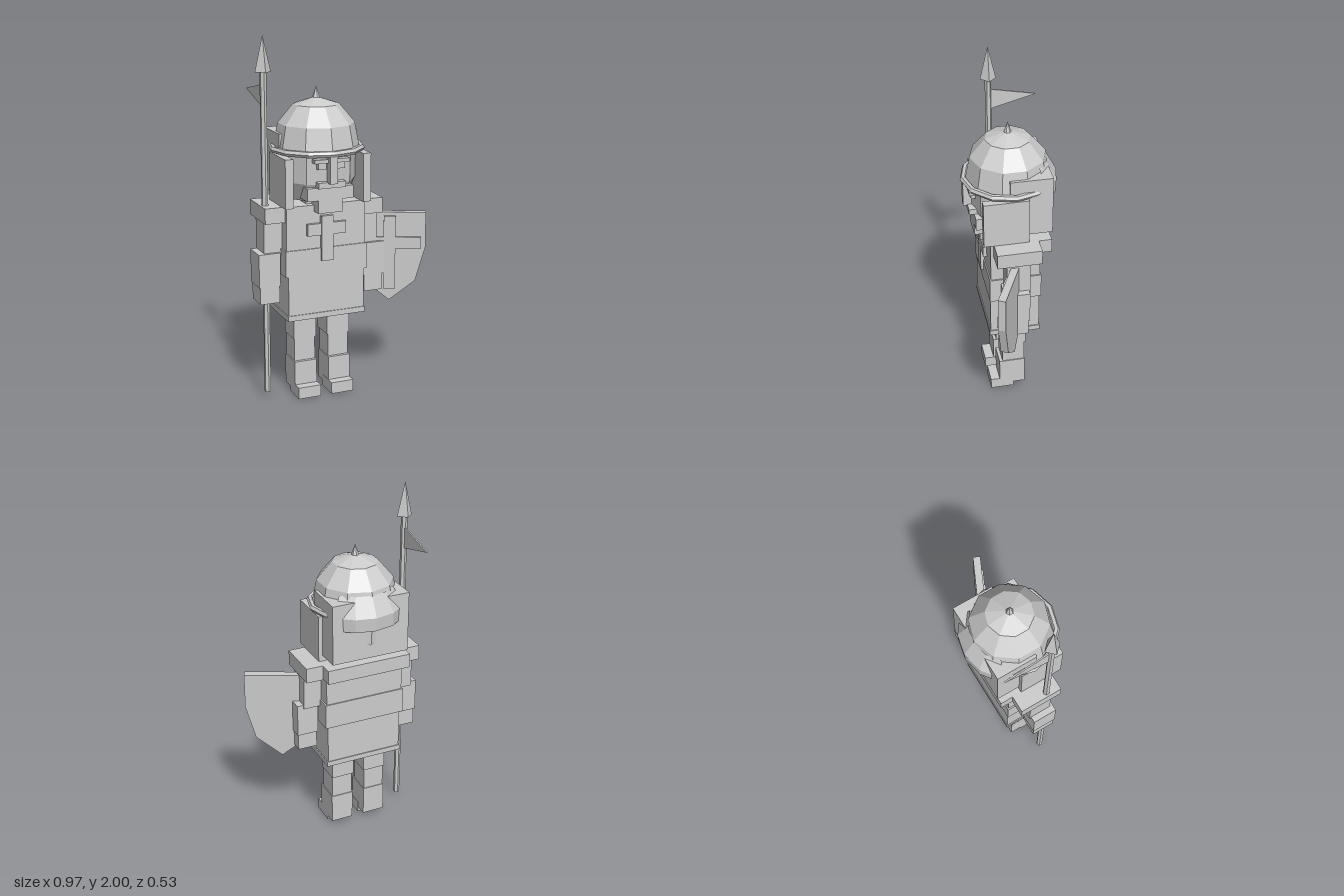
import * as THREE from 'three';

const CX = -0.12; // body centre line

export function createModel() {
  const model = new THREE.Group();
  model.name = 'spearman';
  const stone = new THREE.MeshStandardMaterial({ color: 0xcccccc });
  stone.name = 'pale grey';
  stone.flatShading = true;
  stone.side = THREE.DoubleSide;

  const add = (name, geometry, parent = model) => {
    const mesh = new THREE.Mesh(geometry, stone);
    mesh.name = name;
    parent.add(mesh);
    return mesh;
  };
  // Box given by its limits
  const box = (name, x0, x1, y0, y1, z0, z1, parent) => {
    const mesh = add(name, new THREE.BoxGeometry(x1 - x0, y1 - y0, z1 - z0), parent);
    mesh.position.set((x0 + x1) / 2, (y0 + y1) / 2, (z0 + z1) / 2);
    return mesh;
  };
  const lathe = (name, points, sides, start = 0, sweep = Math.PI * 2, parent) =>
    add(name, new THREE.LatheGeometry(points.map(p => new THREE.Vector2(...p)), sides, start, sweep), parent);

  const body = new THREE.Group();
  body.name = 'body';
  body.position.x = CX;
  model.add(body);

  // Torso and tunic
  box('chest', -0.228, 0.228, 0.86, 1.1, -0.135, 0.14, body);
  box('waist', -0.236, 0.236, 0.715, 0.86, -0.142, 0.147, body);
  box('skirt', -0.22, 0.22, 0.495, 0.715, -0.135, 0.143, body);
  box('hem', -0.226, 0.226, 0.465, 0.495, -0.14, 0.148, body);
  box('backYoke', -0.245, 0.245, 1.02, 1.1, -0.195, -0.1, body);
  box('chestCrossUpright', -0.035, 0.032, 0.79, 1.04, 0.13, 0.162, body);
  box('chestCrossBar', -0.113, 0.108, 0.935, 1.0, 0.13, 0.16, body);

  // Arms and legs, mirrored
  for (const s of [-1, 1]) {
    const side = s > 0 ? 'left' : 'right';
    const pair = (name, a, b, ...rest) =>
      box(side + name, Math.min(s * a, s * b), Math.max(s * a, s * b), ...rest, body);
    pair('ShoulderPad', 0.2, 0.34, 1.015, 1.1, -0.123, 0.123);
    pair('UpperArm', 0.22, 0.33, 0.82, 1.015, -0.06, 0.07);
    pair('Forearm', 0.245, 0.366, 0.655, 0.84, -0.052, 0.088);
    pair('Hand', 0.25, 0.36, 0.56, 0.655, -0.045, 0.085);
    pair('Thigh', 0.033, 0.165, 0.33, 0.5, -0.07, 0.07);
    pair('Knee', 0.04, 0.16, 0.2, 0.33, -0.063, 0.065);
    pair('Shin', 0.036, 0.165, 0.03, 0.2, -0.067, 0.083);
    pair('Shoe', 0.033, 0.163, 0, 0.065, 0, 0.135);
    // Hanging side flaps of the hood, and eyes
    pair('HoodFlap', 0.2, 0.245, 1.1, 1.365, -0.07, 0.178);
    pair('Eye', 0.03, 0.075, 1.305, 1.345, 0.19, 0.215);
    pair('Brow', 0.022, 0.1, 1.34, 1.36, 0.19, 0.228);
  }

  // Head
  lathe('head', [[0, 1.1], [0.165, 1.12], [0.21, 1.22], [0.215, 1.4]], 10, 0, Math.PI * 2, body);
  box('neck', -0.1, 0.1, 1.08, 1.2, -0.13, 0.1, body);
  box('hood', -0.223, 0.223, 1.135, 1.475, -0.203, 0.03, body);
  box('beard', -0.132, 0.132, 1.135, 1.205, 0.08, 0.2, body);
  box('beardTip', -0.07, 0.07, 1.065, 1.135, 0.1, 0.2, body);
  box('moustache', -0.077, 0.077, 1.205, 1.237, 0.17, 0.228, body);

  // Helmet
  const helmet = new THREE.Group();
  helmet.name = 'helmet';
  body.add(helmet);
  lathe('dome', [[0.235, 1.38], [0.208, 1.52], [0.125, 1.62], [0, 1.66]], 10, 0, Math.PI * 2, helmet);
  const rim = add('brim', new THREE.TorusGeometry(0.244, 0.018, 6, 12), helmet);
  rim.rotation.x = Math.PI / 2;
  rim.position.y = 1.388;
  const spike = add('helmetSpike', new THREE.ConeGeometry(0.027, 0.08, 6), helmet);
  spike.position.y = 1.675;
  box('noseGuard', -0.022, 0.022, 1.23, 1.395, 0.205, 0.25, helmet);
  lathe('neckGuard', [[0.2, 1.33], [0.265, 1.32], [0.268, 1.395], [0.21, 1.5]], 4,
    Math.PI - 0.85, 1.7, helmet);

  // Spear with pennant
  const spear = new THREE.Group();
  spear.name = 'spear';
  spear.position.set(-0.433, 0, 0.045);
  model.add(spear);
  add('spearShaft', new THREE.CylinderGeometry(0.018, 0.018, 1.78, 6), spear).position.y = 0.93;
  add('spearHead', new THREE.ConeGeometry(0.044, 0.19, 4), spear).position.y = 1.905;
  const flag = new THREE.Shape([[0, 1.745], [0, 1.625], [0.255, 1.692]].map(p => new THREE.Vector2(...p)));
  const pennant = add('pennant', new THREE.ExtrudeGeometry(flag, { depth: 0.008, bevelEnabled: false }), spear);
  pennant.rotation.y = Math.PI / 2;
  pennant.position.set(-0.004, 0, -0.01);

  // Shield, turned inward on the left arm
  const shield = new THREE.Group();
  shield.name = 'shield';
  shield.position.set(0.302, 0, 0.046);
  shield.rotation.y = -0.437;
  model.add(shield);
  const outline = new THREE.Shape([[-0.2, 1], [-0.2, 0.8], [-0.145, 0.605], [0, 0.49], [0.145, 0.605],
    [0.2, 0.8], [0.2, 1]].map(p => new THREE.Vector2(...p)));
  add('shieldBoard', new THREE.ExtrudeGeometry(outline, { depth: 0.042, bevelEnabled: false }), shield);
  box('shieldCrossUpright', -0.033, 0.033, 0.56, 0.98, 0.03, 0.055, shield);
  box('shieldCrossBar', -0.175, 0.175, 0.795, 0.86, 0.03, 0.054, shield);

  return model;
}
